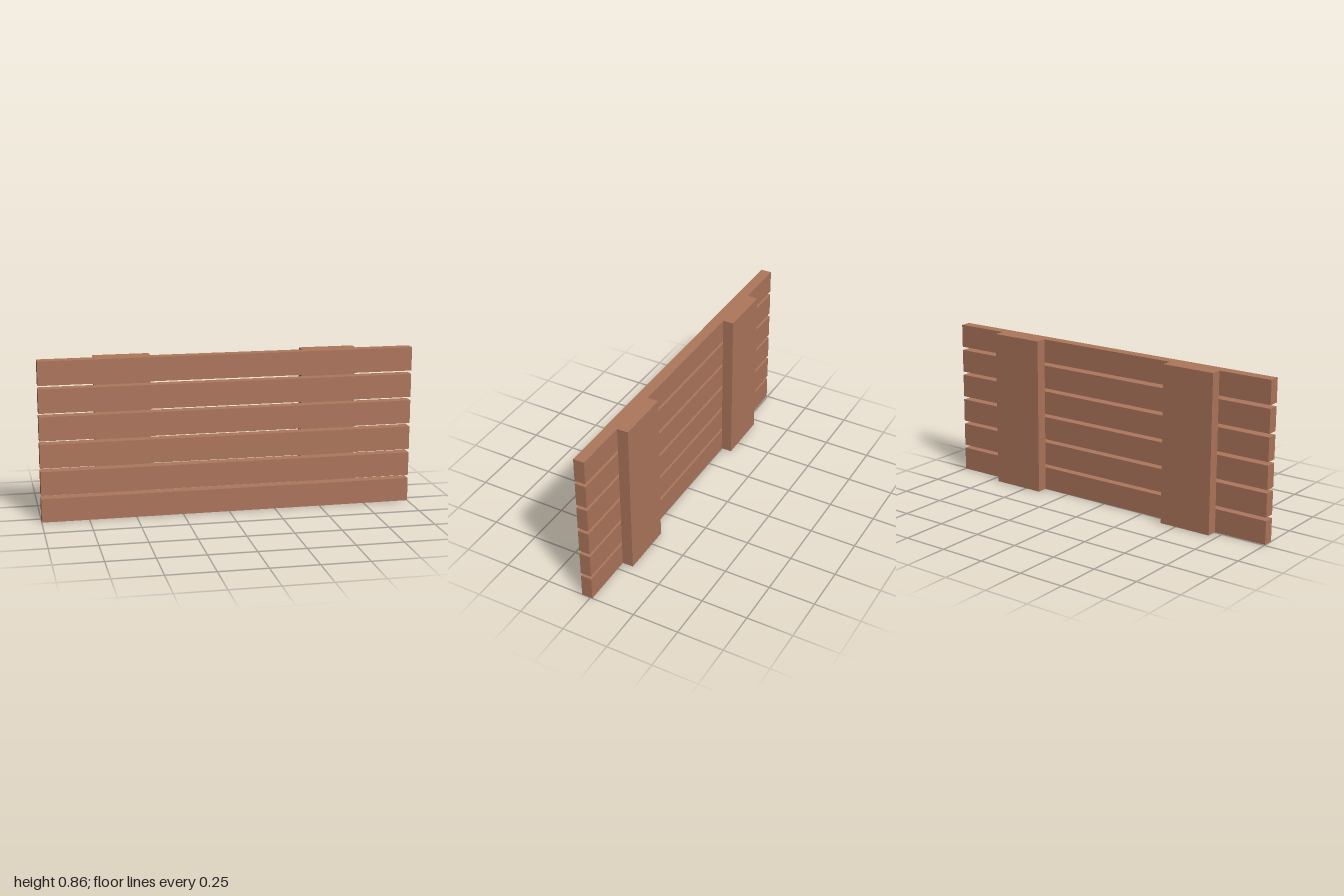
import * as THREE from 'three';

export function createModel() {
  const model = new THREE.Group();
  model.name = 'slattedPanel';

  const wood = new THREE.MeshStandardMaterial({ color: 0xae765c });
  wood.name = 'brown wood';

  const height = 0.855, slatHeight = 0.127, thickness = 0.0595, slats = 6;
  const pitch = (height - slatHeight) / (slats - 1);

  // The panel leans and turns very slightly about its centre
  const panel = new THREE.Group();
  panel.name = 'panel';
  panel.position.y = height / 2;
  panel.rotation.set(0.006, 0.009, 0);
  model.add(panel);

  function board(name, w, h, x, y, z) {
    const mesh = new THREE.Mesh(new THREE.BoxGeometry(w, h, thickness), wood);
    mesh.name = name;
    mesh.position.set(x, y, z);
    panel.add(mesh);
  }

  // Horizontal front slats
  for (let i = 0; i < slats; i++) {
    board(`slat${i + 1}`, 2, slatHeight, 0, (i - (slats - 1) / 2) * pitch, thickness / 2);
  }

  // Wide upright battens on the back
  board('rightBatten', 0.295, height, -0.557, 0, -thickness / 2);
  board('leftBatten', 0.295, height, 0.553, 0, -thickness / 2);

  return model;
}
